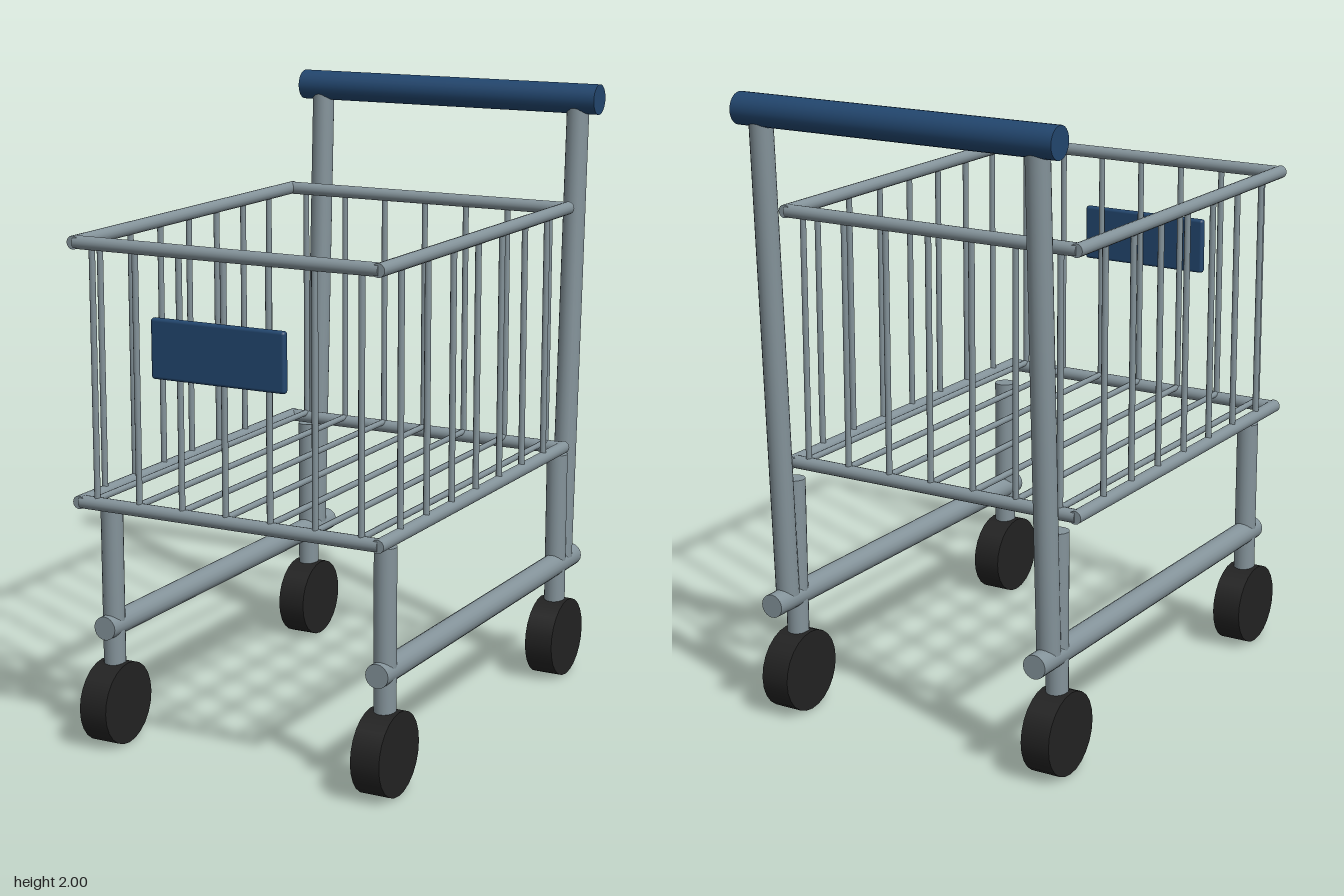
import * as THREE from 'three';
import { RoundedBoxGeometry } from 'three/addons/geometries/RoundedBoxGeometry.js';

export function createModel() {
  const steel = new THREE.MeshStandardMaterial({ name: 'steel', color: 0x84939a });
  const blue = new THREE.MeshStandardMaterial({ name: 'blue plastic', color: 0x22466e });
  const rubber = new THREE.MeshStandardMaterial({ name: 'black rubber', color: 0x222222 });

  const cart = new THREE.Group();
  cart.name = 'shoppingCart';
  const basket = new THREE.Group();
  basket.name = 'basket';
  const frame = new THREE.Group();
  frame.name = 'frame';
  cart.add(basket, frame);

  const up = new THREE.Vector3(0, 1, 0);
  // Round rod between two points
  function rod(parent, name, a, b, radius, material = steel, sides = 16) {
    const start = new THREE.Vector3(...a);
    const dir = new THREE.Vector3(...b).sub(start);
    const mesh = new THREE.Mesh(new THREE.CylinderGeometry(radius, radius, dir.length(), sides), material);
    mesh.name = name;
    mesh.position.copy(start).addScaledVector(dir, 0.5);
    mesh.quaternion.setFromUnitVectors(up, dir.normalize());
    parent.add(mesh);
  }

  // Basket rims
  const X = 0.515, FRONT = 0.75, BACK = -0.57, LOW = 0.805, HIGH = 1.61;
  for (const y of [LOW, HIGH]) {
    for (const z of [FRONT, BACK]) rod(basket, 'crossRim', [-X, y, z], [X, y, z], 0.021);
    for (const s of [-1, 1]) rod(basket, 'sideRim', [s * X, y, BACK - 0.015], [s * X, y, FRONT + 0.015], 0.021);
  }

  // Basket wires: end walls, floor and side walls
  for (let i = -3; i <= 3; i++) {
    const x = i * 0.152;
    rod(basket, 'frontWire', [x, LOW, FRONT], [x, HIGH, FRONT], 0.01, steel, 10);
    rod(basket, 'backWire', [x, LOW, BACK], [x, HIGH, BACK], 0.01, steel, 10);
    rod(basket, 'floorWire', [x, 0.82, BACK], [x, 0.82, FRONT], 0.01, steel, 10);
    const z = 0.103 + i * 0.172;
    for (const s of [-1, 1]) rod(basket, 'sideWire', [s * X, LOW, z], [s * X, HIGH, z], 0.01, steel, 10);
  }

  // Front panel
  const panel = new THREE.Mesh(new RoundedBoxGeometry(0.455, 0.185, 0.025, 2, 0.01), blue);
  panel.name = 'frontPanel';
  panel.position.set(0, 1.32, 0.781);
  basket.add(panel);

  // Base rails, handle uprights, legs and wheels on each side
  for (const s of [-1, 1]) {
    const x = s * 0.478;
    rod(frame, 'baseRail', [x, 0.385, -0.755], [x, 0.385, 0.695], 0.038, steel, 20);
    rod(frame, 'handleUpright', [x, 0.4, -0.67], [x, 1.94, -0.738], 0.037, steel, 20);
    for (const z of [0.64, -0.62]) {
      rod(frame, 'leg', [x, 0.2, z], [x, 0.77, z], 0.035, steel, 20);
      rod(frame, 'wheel', [x - 0.048, 0.132, z], [x + 0.048, 0.132, z], 0.132, rubber, 24);
    }
  }

  // Push handle
  rod(cart, 'pushHandle', [-0.552, 1.95, -0.741], [0.552, 1.95, -0.741], 0.05, blue, 24);

  return cart;
}
